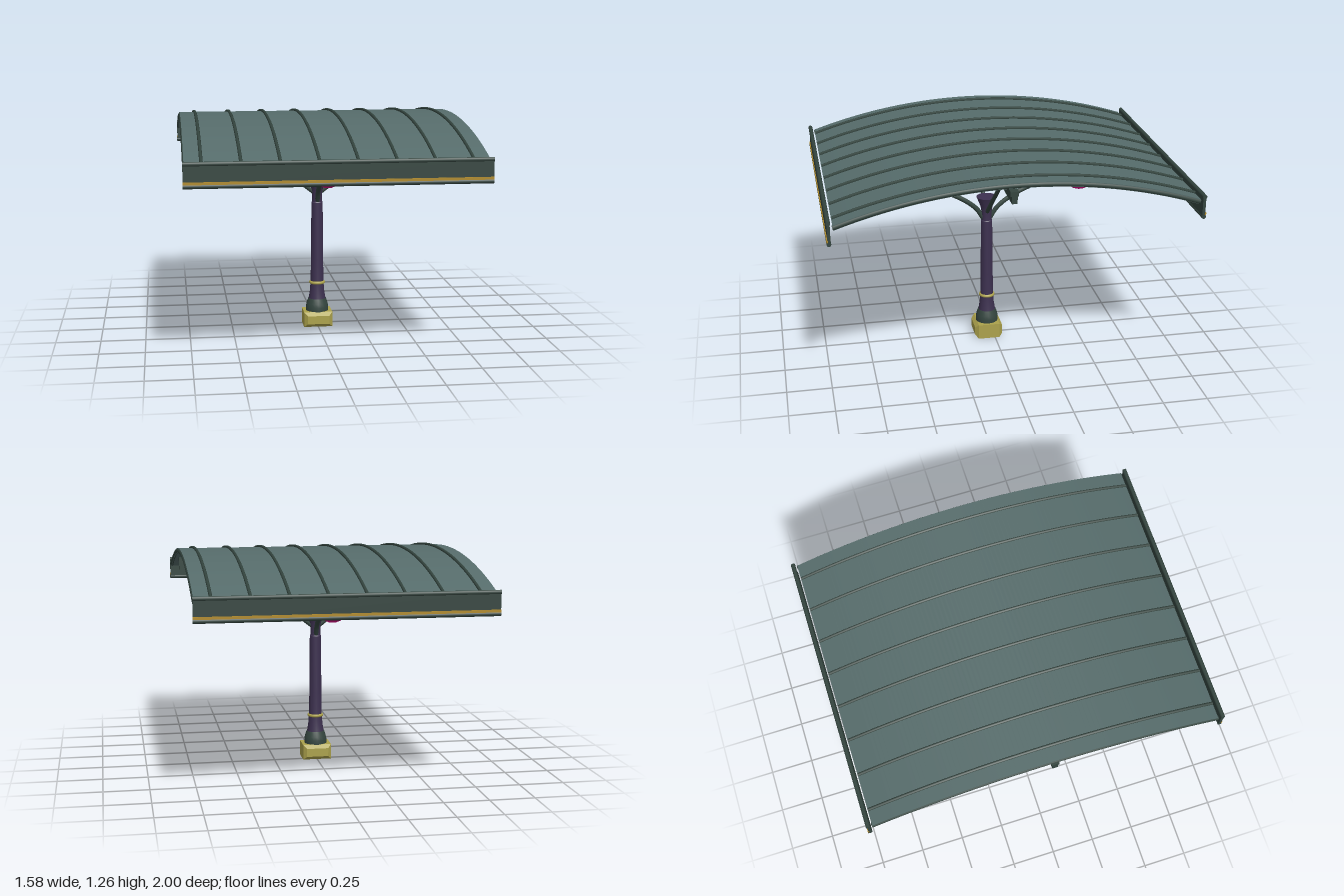
import * as THREE from 'three';
import { toCreasedNormals } from 'three/addons/utils/BufferGeometryUtils.js';

const mat = (name, color, opts = {}) => {
  const m = new THREE.MeshStandardMaterial({ color, ...opts });
  m.name = name;
  return m;
};

const POLE_Z = 0.036; // the post stands slightly in front of the roof centre
const ARC_R = 3;      // roof curvature
const ARC_TOP = 1.245;

// Height of the arc that lies d below the roof surface
const arcY = (z, d = 0) => ARC_TOP - ARC_R + Math.sqrt((ARC_R - d) ** 2 - z * z);

export function createModel() {
  const roofGreen = mat('roof green', 0x566c6b);
  const darkGreen = mat('dark green', 0x34453f);
  const purple = mat('post purple', 0x3d3150);
  const olive = mat('olive gold', 0xaca24c);
  const stripeGold = mat('stripe gold', 0xb08a2a);
  const pink = mat('lamp pink', 0xe8108e, { flatShading: true });

  const root = new THREE.Group();
  root.name = 'canopy';

  const add = (name, geo, material, x = 0, y = 0, z = 0, parent = root) => {
    const m = new THREE.Mesh(geo, material);
    m.name = name;
    m.position.set(x, y, z);
    parent.add(m);
    return m;
  };
  const tube = (pts, r, segs = 24, sides = 8) => new THREE.TubeGeometry(
    new THREE.CatmullRomCurve3(pts.map(p => new THREE.Vector3(...p))), segs, r, sides);
  const arcPoints = (half, d) => Array.from({ length: 17 }, (_, i) => {
    const z = half * (i / 8 - 1);
    return [0, arcY(z, d), z];
  });
  const lathe = pts => toCreasedNormals(
    new THREE.LatheGeometry(pts.map(p => new THREE.Vector2(...p)), 20), 0.5);

  // Curved slab with the roof's arc, spanning the given width in x
  const slab = (half, d0, d1, width) => {
    const s = new THREE.Shape();
    const cy = ARC_TOP - ARC_R;
    const a0 = Math.asin(half / (ARC_R - d0));
    s.absarc(0, cy, ARC_R - d0, Math.PI / 2 - a0, Math.PI / 2 + a0, false);
    s.absarc(0, cy, ARC_R - d1, Math.PI / 2 + a0, Math.PI / 2 - a0, true);
    const g = new THREE.ExtrudeGeometry(s, { depth: width, bevelEnabled: false, curveSegments: 40 });
    g.translate(0, 0, -width / 2);
    g.rotateY(Math.PI / 2);
    return toCreasedNormals(g, 0.4);
  };

  // Roof sheet, rounded side rims, seams and the centre arch below
  add('roofSheet', slab(0.965, 0, 0.028, 1.56), roofGreen);
  for (const s of [-1, 1])
    add('roofRim', tube(arcPoints(0.965, 0.015), 0.014, 32), darkGreen, s * 0.773);
  for (let i = 0; i < 8; i++)
    add('roofSeam', tube(arcPoints(0.962, -0.004), 0.009, 32, 6), darkGreen, (i - 3.5) * 0.198);
  add('centreArch', slab(0.945, 0.026, 0.056, 0.03), darkGreen);

  // Fascia boards with rolled edges and an outer stripe
  for (const s of [-1, 1]) {
    const fascia = new THREE.Group();
    fascia.name = s > 0 ? 'frontFascia' : 'backFascia';
    root.add(fascia);
    add('fasciaBoard', new THREE.BoxGeometry(1.574, 0.118, 0.016), darkGreen, 0, 1.041, s * 0.986, fascia);
    for (const y of [1.098, 0.986]) {
      const bead = new THREE.CylinderGeometry(0.012, 0.012, 1.576, 10).rotateZ(Math.PI / 2);
      add('fasciaBead', bead, darkGreen, 0, y, s * 0.987, fascia);
    }
    add('fasciaStripe', new THREE.BoxGeometry(1.576, 0.014, 0.008), stripeGold, 0, 1.002, s * 0.995, fascia);
  }

  // Ridge beam along the width
  add('ridgeBeam', new THREE.BoxGeometry(1.574, 0.055, 0.03), darkGreen, 0, 1.162, POLE_Z);
  add('ridgeBeamFlange', new THREE.BoxGeometry(1.574, 0.025, 0.044), darkGreen, 0, 1.188, POLE_Z);

  // Bevelled foot block
  const foot = new THREE.Shape();
  foot.moveTo(-0.063, 0.02);
  foot.lineTo(0.063, 0.02);
  foot.lineTo(0.063, 0.068);
  foot.lineTo(-0.063, 0.068);
  const footGeo = new THREE.ExtrudeGeometry(foot, {
    depth: 0.125, bevelThickness: 0.02, bevelSize: 0.02, bevelSegments: 1 });
  add('footBlock', footGeo, olive, 0, 0, POLE_Z - 0.0625);

  // Post: flared collar, ring, shaft and capital
  add('postCollar', lathe([[0, 0.086], [0.066, 0.086], [0.066, 0.11], [0.062, 0.13],
    [0.052, 0.16], [0, 0.16]]), darkGreen, 0, 0, POLE_Z);
  add('post', lathe([[0.05, 0.158], [0.043, 0.2], [0.038, 0.26], [0.036, 0.4], [0.033, 0.73],
    [0.03, 0.735], [0.03, 0.79], [0.036, 0.82], [0.058, 0.876], [0, 0.876]]), purple, 0, 0, POLE_Z);
  add('postRing', new THREE.TorusGeometry(0.038, 0.009, 8, 24).rotateX(Math.PI / 2),
    olive, 0, 0.255, POLE_Z);

  // Curved arms to front and back, straight struts to both sides
  for (const s of [-1, 1]) {
    add('curvedArm', tube([[0, 0.735, s * 0.015], [0, 0.805, s * 0.06], [0, 0.868, s * 0.14],
      [0, 0.93, s * 0.27], [0, 0.985, s * 0.46], [0, 1.075, s * 0.885]], 0.014, 40),
    darkGreen, 0, 0, POLE_Z);
    add('sideStrut', tube([[s * 0.015, 0.785, 0], [s * 0.24, 0.96, 0], [s * 0.47, 1.14, 0]], 0.012, 4),
      darkGreen, 0, 0, POLE_Z);
  }

  // Hanging globe lamps
  for (const z of [0.513, -0.51]) {
    const lamp = new THREE.Group();
    lamp.name = z > 0 ? 'frontLamp' : 'backLamp';
    lamp.position.z = z;
    root.add(lamp);
    add('lampRod', new THREE.CylinderGeometry(0.006, 0.006, 0.11, 8), darkGreen, 0, 1.12, 0, lamp);
    add('lampCapPlate', new THREE.CylinderGeometry(0.088, 0.088, 0.009, 20), olive, 0, 1.073, 0, lamp);
    add('lampCap', lathe([[0, 1.035], [0.055, 1.035], [0.066, 1.045], [0.088, 1.069], [0, 1.069]]),
      darkGreen, 0, 0, 0, lamp);
    add('lampGlobe', new THREE.SphereGeometry(0.089, 18, 12), pink, 0, 0.978, 0, lamp);
  }

  return root;
}
